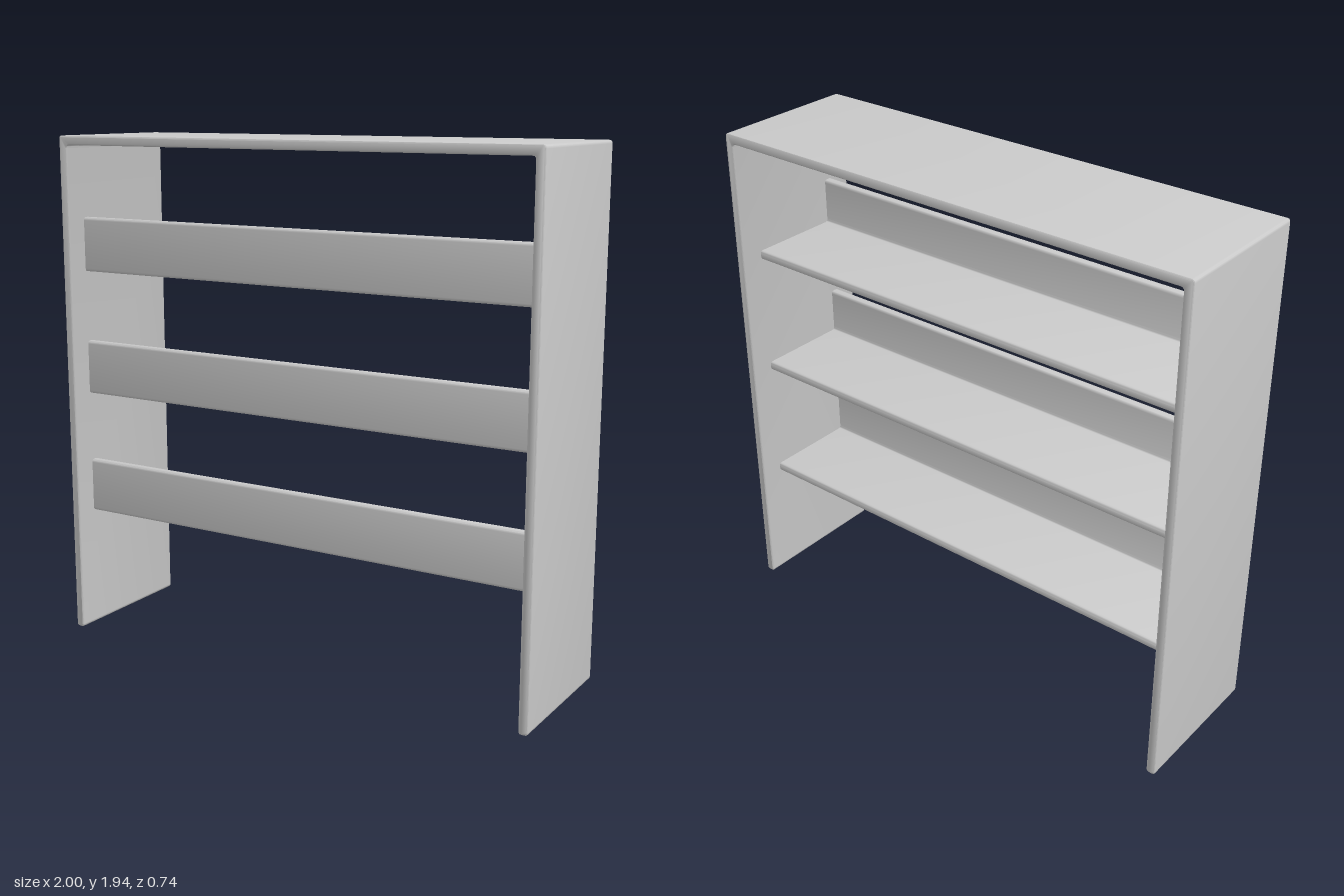
import * as THREE from 'three';
import { toCreasedNormals } from 'three/addons/utils/BufferGeometryUtils.js';

const WIDTH = 1.958, HEIGHT = 1.94, DEPTH = 0.572, BOARD = 0.035;
const ROUND = 0.012, BEVEL = 0.006;

// Closed outline with every corner softened by radius ROUND
function roundedOutline(corners) {
  const pts = corners.map(([x, y]) => new THREE.Vector2(x, y));
  const shape = new THREE.Shape();
  pts.forEach((p, i) => {
    const prev = pts[(i + pts.length - 1) % pts.length];
    const next = pts[(i + 1) % pts.length];
    const a = prev.clone().sub(p).setLength(ROUND).add(p);
    const b = next.clone().sub(p).setLength(ROUND).add(p);
    if (i === 0) shape.moveTo(a.x, a.y);
    else shape.lineTo(a.x, a.y);
    shape.quadraticCurveTo(p.x, p.y, b.x, b.y);
  });
  shape.closePath();
  return shape;
}

// Bevelled board of the given section, centred along its length
function extrudeCentred(corners, length) {
  const geometry = new THREE.ExtrudeGeometry(roundedOutline(corners), {
    depth: length - 2 * BEVEL, curveSegments: 3, bevelEnabled: true,
    bevelThickness: BEVEL, bevelSize: BEVEL, bevelOffset: -BEVEL, bevelSegments: 3,
  });
  return geometry.translate(0, 0, BEVEL - length / 2);
}

export function createModel() {
  const group = new THREE.Group();
  group.name = 'shelfUnit';
  const material = new THREE.MeshStandardMaterial({ color: 0xcccccc });
  const add = (geometry, name) => {
    const mesh = new THREE.Mesh(toCreasedNormals(geometry, 0.8), material);
    mesh.name = name;
    group.add(mesh);
    return mesh;
  };

  // Frame: two side panels joined by the top board
  const w = WIDTH / 2, inner = w - BOARD;
  add(extrudeCentred([
    [-w, 0], [-inner, 0], [-inner, HEIGHT - BOARD], [inner, HEIGHT - BOARD],
    [inner, 0], [w, 0], [w, HEIGHT], [-w, HEIGHT],
  ], DEPTH), 'frame');

  // Shelves: L-shaped section with an upright lip at the front
  const back = -0.197, front = 0.2, lip = 0.208;
  [0.468, 0.944, 1.423].forEach((y, i) => {
    const shelf = extrudeCentred([
      [back, 0], [front, 0], [front, lip], [front - BOARD, lip],
      [front - BOARD, BOARD], [back, BOARD],
    ], 2 * inner + 0.02);
    shelf.rotateY(-Math.PI / 2);
    add(shelf, `lippedShelf${i + 1}`).position.y = y;
  });

  // The whole unit stands slightly turned
  group.rotation.y = -0.0895;
  return group;
}
